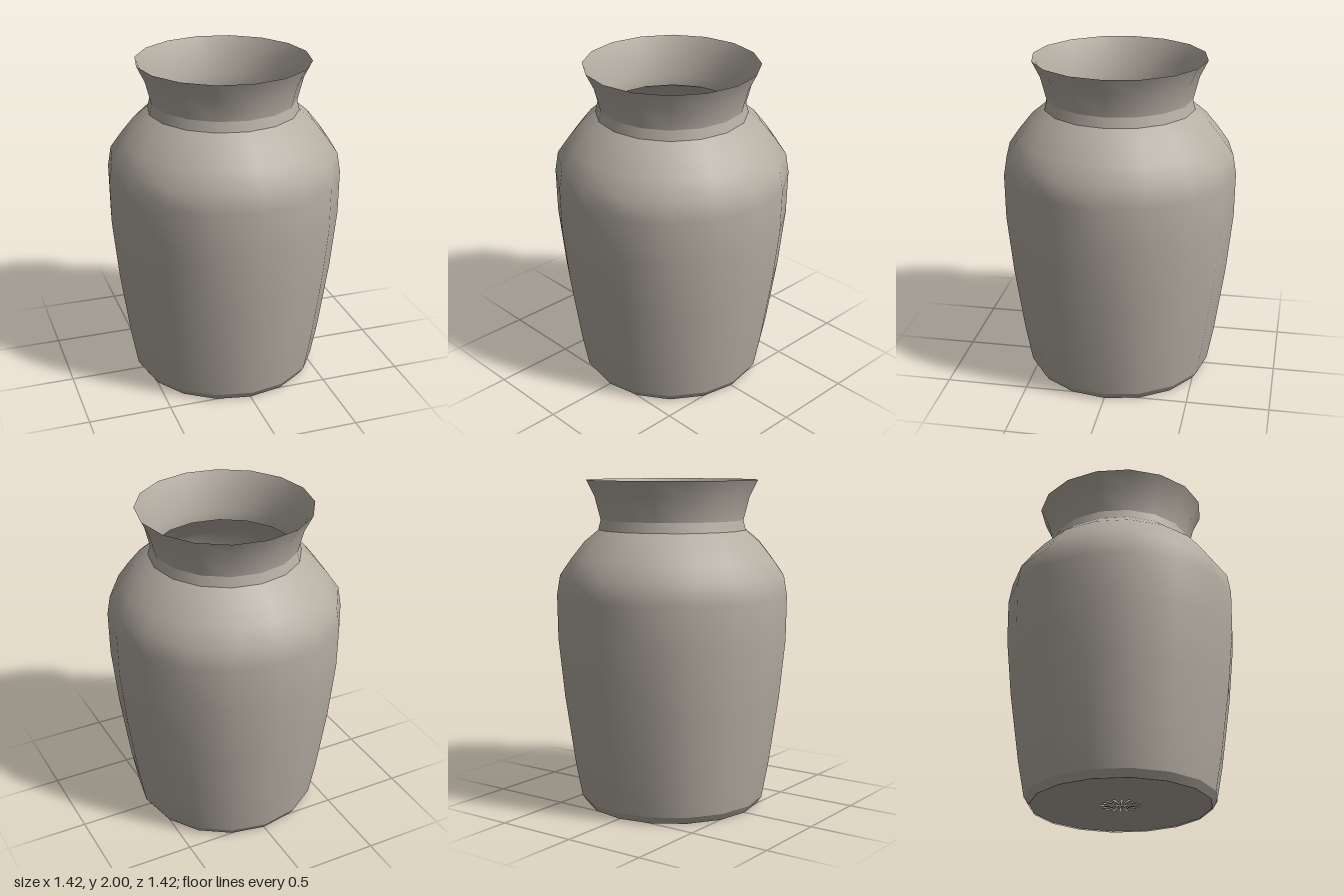
import * as THREE from 'three';

const SIDES = 16;

export function createModel() {
  const vase = new THREE.Group();
  vase.name = 'vase';
  const clay = new THREE.MeshStandardMaterial({ color: 0xb5aea3, side: THREE.DoubleSide });
  clay.name = 'warm grey clay';

  const add = (name, geometry, parent = vase) => {
    const mesh = new THREE.Mesh(geometry, clay);
    mesh.name = name;
    parent.add(mesh);
    return mesh;
  };
  // Thin turned wall from [radius, height] pairs, bottom to top, seam at the front
  const turned = (profile) =>
    new THREE.LatheGeometry(profile.map(([r, y]) => new THREE.Vector2(r, y)), SIDES);

  // Rounded foot edge
  add('foot', turned([[0.54, 0], [0.57, 0.045]]));

  // Tapered body and shoulder
  add('body', turned([
    [0.57, 0.045], [0.61, 0.26], [0.67, 0.68], [0.706, 1.04], [0.71, 1.31],
    [0.69, 1.43], [0.62, 1.53], [0.54, 1.63], [0.455, 1.70],
  ]));

  // Narrow collar and flared neck, open at the top
  add('collar', turned([[0.455, 1.70], [0.44, 1.76]]));
  add('neck', turned([[0.44, 1.70], [0.44, 1.76], [0.476, 1.90], [0.525, 2.0]]));

  // Flat floor with a small pierced centre
  const floor = new THREE.Group();
  floor.name = 'floor';
  floor.rotation.x = -Math.PI / 2;
  floor.position.y = 0.008;
  vase.add(floor);
  add('floorRing', new THREE.RingGeometry(0.12, 0.54, SIDES, 1, -Math.PI / 2), floor);
  for (let i = 0; i < SIDES; i++) {
    const step = (Math.PI * 2) / SIDES;
    add('floorSpoke', new THREE.CircleGeometry(0.122, 1, i * step, step * 0.7), floor);
  }
  return vase;
}
